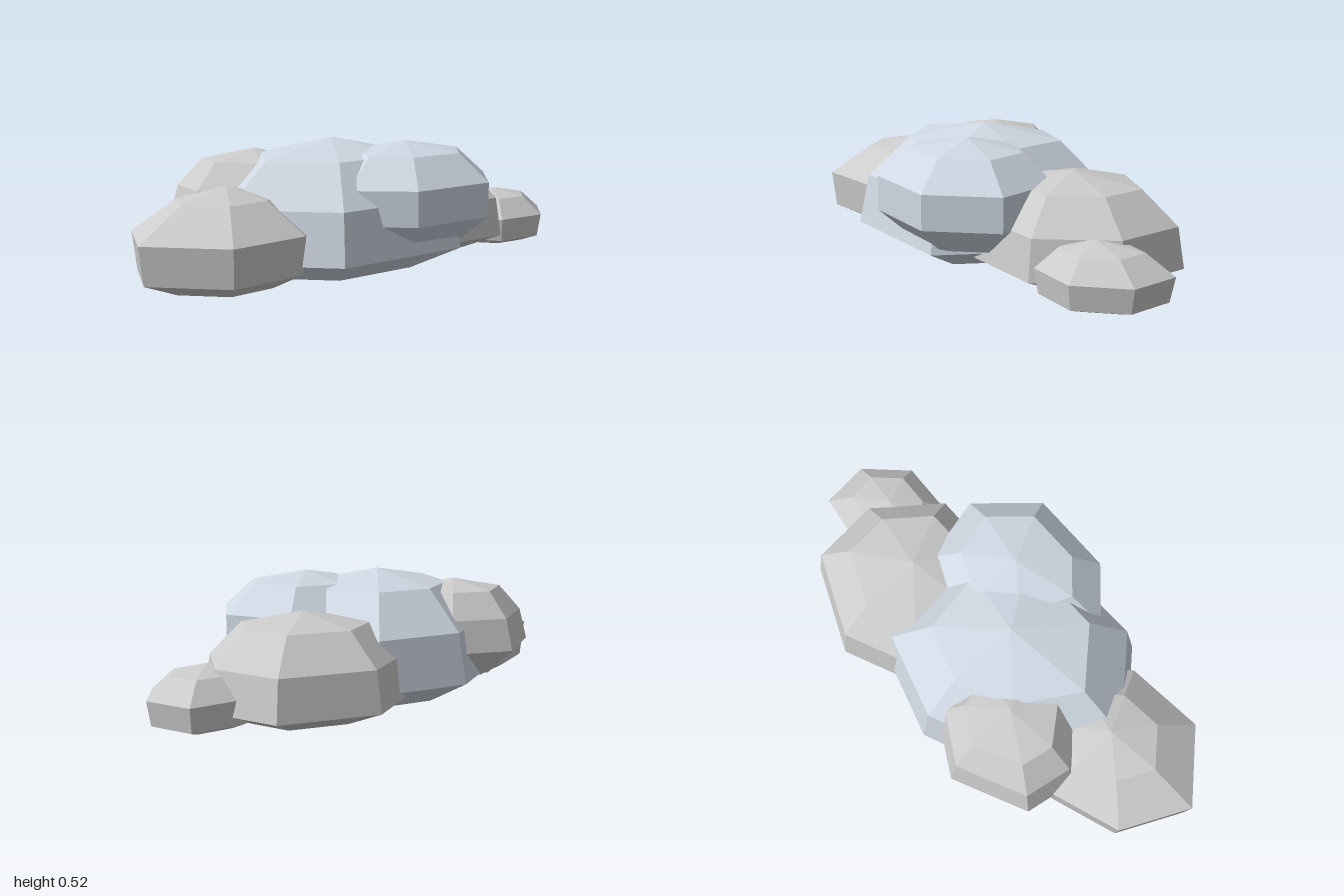
import * as THREE from 'three';

const SIDES = 7;
const RINGS = 5;
const FLOOR = 0.046; // below this height the puffs are pressed flat
const PRESS = 0.28;

const white = new THREE.MeshStandardMaterial({ color: 0xf2f2f2, flatShading: true });
const blueGrey = new THREE.MeshStandardMaterial({ color: 0xcfd8e3, flatShading: true });

// Squashed faceted ball. The outline holds its seven widest corners as [x, z] from the
// centre, starting at the back and turning towards +x; rings widen or narrow the four
// levels from top to bottom.
function puff(name, [cx, cy, cz], height, outline, rings, material) {
  const step = (Math.PI * 2) / SIDES;
  const geometry = new THREE.SphereGeometry(1, SIDES, RINGS, -Math.PI / 2);
  const widest = Math.sin((2 * Math.PI) / RINGS);
  const p = geometry.attributes.position;
  for (let i = 0; i < p.count; i++) {
    const level = Math.round((Math.acos(THREE.MathUtils.clamp(p.getY(i), -1, 1)) * RINGS) / Math.PI);
    const angle = Math.atan2(p.getZ(i), p.getX(i));
    const [ox, oz] = outline[(Math.round((angle + Math.PI / 2) / step) + SIDES) % SIDES];
    const pole = level === 0 || level === RINGS;
    const r = pole ? 0 : (Math.hypot(p.getX(i), p.getZ(i)) / widest) * rings[level - 1];
    let y = cy + p.getY(i) * height;
    if (y < FLOOR) y = FLOOR + (y - FLOOR) * PRESS;
    p.setXYZ(i, cx + ox * r, y, cz + oz * r);
  }
  geometry.computeVertexNormals();
  const mesh = new THREE.Mesh(geometry, material);
  mesh.name = name;
  return mesh;
}

export function createModel() {
  const cloud = new THREE.Group();
  cloud.name = 'cloud';
  cloud.add(
    // Large middle puff and the one bulging from its front
    puff('centrePuff', [-0.08, 0.207, 0], 0.313,
      [[0, -0.455], [0.37, -0.35], [0.46, 0.08], [0.3, 0.42], [-0.27, 0.43], [-0.59, 0.1], [-0.36, -0.3]],
      [0.97, 0.92, 1, 1], blueGrey),
    puff('frontPuff', [0.12, 0.298, 0.2], 0.215,
      [[0, -0.3], [0.28, -0.2], [0.36, 0.07], [0.17, 0.295], [-0.18, 0.29], [-0.37, 0.12], [-0.26, -0.2]],
      [1.05, 1, 1, 1], blueGrey),
    // Puffs around the sides and back
    puff('rightPuff', [-0.6, 0.152, 0.05], 0.233,
      [[0, -0.3], [0.28, -0.22], [0.35, 0.08], [0.15, 0.28], [-0.17, 0.31], [-0.4, 0.07], [-0.28, -0.2]],
      [0.85, 1, 0.95, 0.95], white),
    puff('backPuff', [-0.31, 0.275, -0.2], 0.2,
      [[0, -0.3], [0.22, -0.18], [0.28, 0.06], [0.13, 0.27], [-0.13, 0.27], [-0.32, 0.05], [-0.29, -0.16]],
      [1, 0.9, 1, 1], white),
    puff('leftPuff', [0.41, 0.16, -0.08], 0.25,
      [[0, -0.39], [0.36, -0.24], [0.4, 0.06], [0.2, 0.33], [-0.17, 0.33], [-0.39, 0.09], [-0.31, -0.25]],
      [1, 0.94, 1, 0.95], white),
    puff('leftTipPuff', [0.75, 0.096, 0.06], 0.149,
      [[0, -0.2], [0.22, -0.17], [0.25, 0.03], [0.1, 0.19], [-0.12, 0.18], [-0.22, 0.05], [-0.18, -0.14]],
      [1, 1, 0.93, 1], white),
  );
  return cloud;
}
